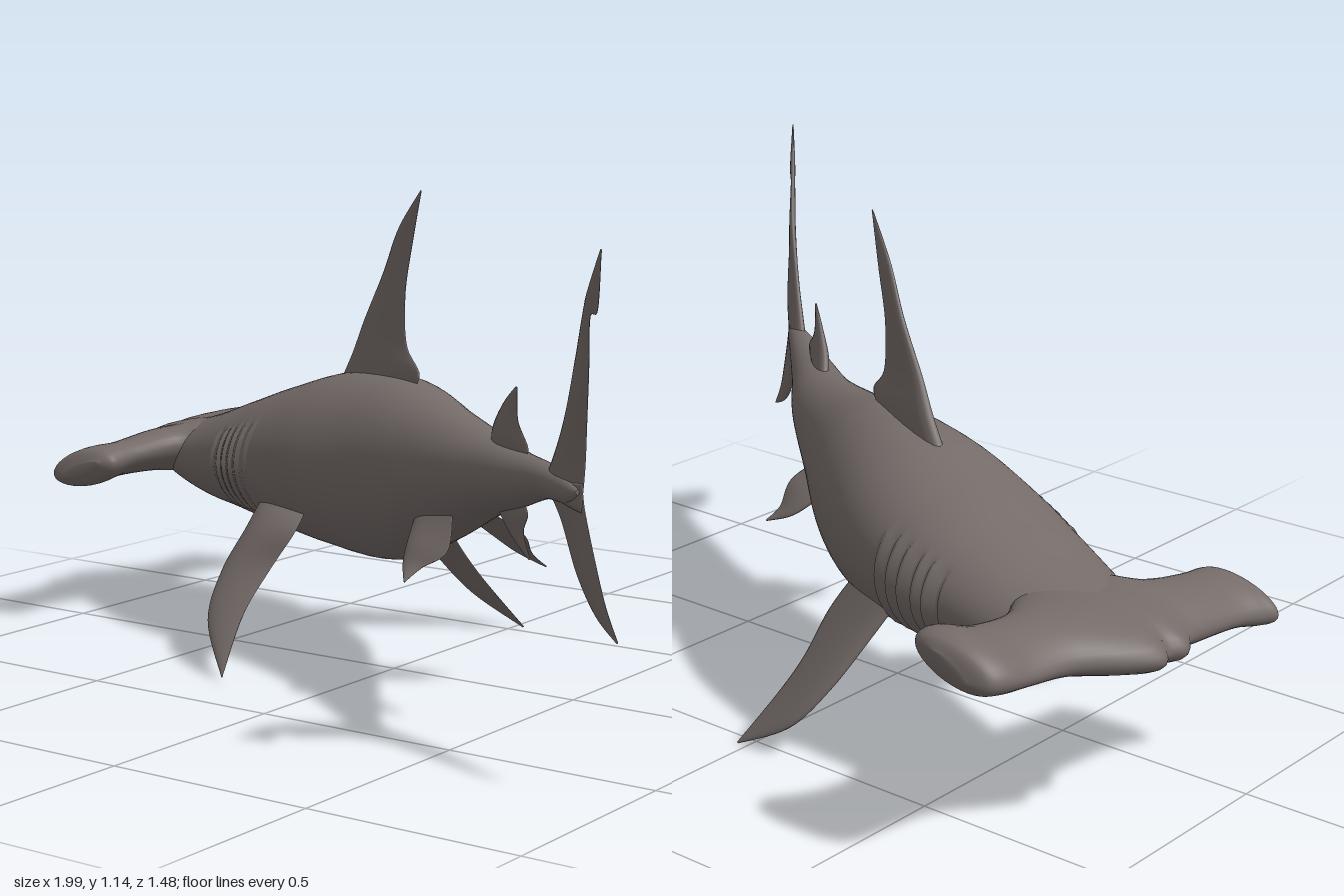
import * as THREE from 'three';

// Smooth interpolation through rows of numbers, t in 0..1
function sample(rows, t) {
  const n = rows.length - 1, f = Math.min(t * n, n - 1e-6), i = Math.floor(f), u = f - i;
  const a = rows[Math.max(i - 1, 0)], b = rows[i], c = rows[i + 1], d = rows[Math.min(i + 2, n)];
  return b.map((_, k) => 0.5 * (2 * b[k] + (c[k] - a[k]) * u
    + (2 * a[k] - 5 * b[k] + 4 * c[k] - d[k]) * u * u
    + (3 * b[k] - a[k] - 3 * c[k] + d[k]) * u * u * u));
}

// Closed skin over rings of points, capped at both ends and wound outwards
function loft(rings) {
  const m = rings[0].length, pos = [], idx = [];
  rings.forEach(r => r.forEach(p => pos.push(p.x, p.y, p.z)));
  for (let i = 0; i < rings.length - 1; i++) {
    for (let j = 0; j < m; j++) {
      const a = i * m + j, b = i * m + (j + 1) % m;
      idx.push(a, b, b + m, a, b + m, a + m);
    }
  }
  [0, rings.length - 1].forEach(i => {
    const c = new THREE.Vector3();
    rings[i].forEach(p => c.addScaledVector(p, 1 / m));
    const k = pos.length / 3;
    pos.push(c.x, c.y, c.z);
    for (let j = 0; j < m; j++) {
      const a = i * m + j, b = i * m + (j + 1) % m;
      if (i === 0) idx.push(k, b, a); else idx.push(k, a, b);
    }
  });
  const at = i => new THREE.Vector3().fromArray(pos, i * 3);
  let volume = 0;
  for (let i = 0; i < idx.length; i += 3) volume += at(idx[i]).dot(at(idx[i + 1]).cross(at(idx[i + 2])));
  if (volume < 0) idx.reverse();
  const g = new THREE.BufferGeometry();
  g.setAttribute('position', new THREE.Float32BufferAttribute(pos, 3));
  g.setIndex(idx);
  g.computeVertexNormals();
  return g;
}

// Fin from rows of leading point and trailing point, root to tip
function finGeometry(rows) {
  const mid = r => new THREE.Vector3((r[0] + r[3]) / 2, (r[1] + r[4]) / 2, (r[2] + r[5]) / 2);
  const span = mid(rows[rows.length - 1]).sub(mid(rows[0]));
  const rings = [], steps = 28, sides = 20;
  const root = new THREE.Vector3(rows[0][3] - rows[0][0], rows[0][4] - rows[0][1], rows[0][5] - rows[0][2]);
  const normal = root.cross(span).normalize();
  for (let i = 0; i <= steps; i++) {
    const s = sample(rows, i / steps);
    const lead = new THREE.Vector3(s[0], s[1], s[2]), trail = new THREE.Vector3(s[3], s[4], s[5]);
    const half = lead.distanceTo(trail) * 0.1 + 0.0015;
    const ring = [];
    for (let j = 0; j < sides; j++) {
      const a = j / sides * Math.PI * 2, u = (1 - Math.cos(a)) / 2;
      ring.push(lead.clone().lerp(trail, u).addScaledVector(normal, Math.sin(a) * half * Math.sqrt(1.05 - u)));
    }
    rings.push(ring);
  }
  return loft(rings);
}

// Body stations: x, z, half width, top y, bottom y
const BODY = [
  [-0.96, -0.31, 0.03, 0.455, 0.42], [-0.9, -0.305, 0.11, 0.485, 0.38], [-0.8, -0.29, 0.15, 0.505, 0.335],
  [-0.68, -0.27, 0.185, 0.54, 0.305], [-0.55, -0.24, 0.21, 0.585, 0.29], [-0.4, -0.2, 0.232, 0.635, 0.272],
  [-0.2, -0.13, 0.223, 0.69, 0.255], [0, -0.04, 0.18, 0.7, 0.262], [0.2, 0.075, 0.13, 0.665, 0.345],
  [0.4, 0.2, 0.09, 0.635, 0.445], [0.55, 0.32, 0.06, 0.628, 0.5], [0.7, 0.44, 0.036, 0.63, 0.555],
  [0.8, 0.52, 0.02, 0.62, 0.57], [0.84, 0.55, 0.004, 0.605, 0.595],
];

function bodyGeometry() {
  const rings = [], steps = 320, sides = 72;
  for (let i = 0; i <= steps; i++) {
    const t = i / steps, [x, z, w, top, bottom] = sample(BODY, t);
    const p = sample(BODY, Math.max(t - 0.02, 0)), q = sample(BODY, Math.min(t + 0.02, 1));
    const len = Math.hypot(q[0] - p[0], q[1] - p[1]);
    const sx = -(q[1] - p[1]) / len, sz = (q[0] - p[0]) / len;
    // Five overlapping gill flaps on each flank
    const g = (x + 0.53) / 0.035, inGills = g > 0 && g < 5;
    const flap = inGills ? 0.012 * ((g % 1) - 0.5) : 0;
    const ring = [];
    for (let j = 0; j < sides; j++) {
      const a = j / sides * Math.PI * 2, c = Math.cos(a), s = Math.sin(a);
      const band = Math.abs(c) > 0.76 && s < 0.5 ? 1 : 0;
      const r = w * c + Math.sign(c) * flap * band;
      ring.push(new THREE.Vector3(x + sx * r, (top + bottom) / 2 + s * (top - bottom) / 2, z + sz * r));
    }
    rings.push(ring);
  }
  return loft(rings);
}

// Head stations: z, front x, back x, middle y, half thickness
const HEAD = [
  [-0.742, -0.8, -0.72, 0.485, 0.012], [-0.725, -0.85, -0.66, 0.485, 0.045], [-0.68, -0.87, -0.645, 0.483, 0.055],
  [-0.6, -0.875, -0.68, 0.47, 0.045], [-0.5, -0.895, -0.7, 0.465, 0.05], [-0.4, -0.96, -0.65, 0.455, 0.06],
  [-0.33, -0.995, -0.6, 0.448, 0.064], [-0.285, -0.976, -0.6, 0.445, 0.064], [-0.24, -0.992, -0.6, 0.443, 0.064],
  [-0.18, -0.96, -0.64, 0.44, 0.062], [-0.12, -0.955, -0.75, 0.435, 0.054], [0, -0.965, -0.785, 0.425, 0.045],
  [0.07, -0.985, -0.79, 0.417, 0.05], [0.105, -0.995, -0.795, 0.413, 0.042], [0.124, -0.95, -0.83, 0.412, 0.012],
];

function headGeometry() {
  const rings = [], steps = 90, sides = 32;
  for (let i = 0; i <= steps; i++) {
    const [z, front, back, y, h] = sample(HEAD, i / steps), ring = [];
    for (let j = 0; j < sides; j++) {
      const a = j / sides * Math.PI * 2, c = Math.cos(a);
      // The wide foil slopes down towards its front edge
      ring.push(new THREE.Vector3((front + back) / 2 + c * (back - front) / 2, y + Math.sin(a) * h + c * 0.022, z));
    }
    rings.push(ring);
  }
  return loft(rings);
}

// Each row: leading x, y, z, then trailing x, y, z
const FINS = {
  dorsalFin: [
    [-0.29, 0.62, -0.16, 0.02, 0.66, -0.03], [-0.22, 0.73, -0.14, 0.07, 0.715, -0.005],
    [-0.17, 0.82, -0.12, 0.015, 0.78, -0.03], [-0.1, 0.94, -0.1, 0.008, 0.9, -0.035],
    [-0.03, 1.05, -0.062, 0.032, 1.02, -0.03], [0.075, 1.145, 0, 0.077, 1.14, 0]],
  rearDorsalFin: [
    [0.41, 0.6, 0.2, 0.55, 0.6, 0.32], [0.44, 0.66, 0.24, 0.6, 0.635, 0.355],
    [0.49, 0.72, 0.28, 0.558, 0.69, 0.33], [0.55, 0.765, 0.328, 0.556, 0.76, 0.332]],
  analFin: [
    [0.42, 0.5, 0.21, 0.56, 0.53, 0.32], [0.48, 0.46, 0.26, 0.6, 0.5, 0.355],
    [0.53, 0.43, 0.3, 0.58, 0.455, 0.34], [0.6, 0.4, 0.35, 0.605, 0.405, 0.353]],
  upperTailLobe: [
    [0.69, 0.59, 0.435, 0.85, 0.56, 0.552], [0.74, 0.65, 0.48, 0.86, 0.65, 0.555],
    [0.79, 0.74, 0.52, 0.875, 0.74, 0.575], [0.84, 0.87, 0.56, 0.908, 0.86, 0.625],
    [0.89, 0.975, 0.615, 0.93, 0.965, 0.66], [0.92, 1.02, 0.65, 0.968, 0.985, 0.695],
    [0.995, 1.105, 0.733, 0.998, 1.1, 0.735]],
  lowerTailLobe: [
    [0.69, 0.6, 0.435, 0.853, 0.62, 0.553], [0.76, 0.53, 0.48, 0.86, 0.57, 0.555],
    [0.83, 0.43, 0.53, 0.902, 0.48, 0.585], [0.91, 0.365, 0.59, 0.95, 0.395, 0.62],
    [0.986, 0.33, 0.638, 0.99, 0.333, 0.64]],
  leftPectoralFin: [
    [-0.4, 0.37, 0, -0.24, 0.38, 0.02], [-0.405, 0.3, 0.06, -0.21, 0.33, 0.11],
    [-0.415, 0.21, 0.14, -0.255, 0.24, 0.15], [-0.385, 0.11, 0.23, -0.275, 0.14, 0.23],
    [-0.258, 0.012, 0.335, -0.253, 0.016, 0.337]],
  rightPectoralFin: [
    [-0.3, 0.38, -0.36, -0.1, 0.37, -0.27], [-0.26, 0.3, -0.4, -0.065, 0.29, -0.32],
    [-0.2, 0.18, -0.47, -0.06, 0.2, -0.4], [-0.12, 0.08, -0.52, -0.03, 0.12, -0.455],
    [0.024, 0.003, -0.535, 0.028, 0.006, -0.532]],
  leftPelvicFin: [
    [0.17, 0.42, 0.15, 0.31, 0.45, 0.21], [0.195, 0.37, 0.22, 0.33, 0.37, 0.26],
    [0.21, 0.33, 0.26, 0.275, 0.33, 0.28], [0.247, 0.3, 0.31, 0.252, 0.302, 0.31]],
  rightPelvicFin: [
    [0.24, 0.42, 0.06, 0.35, 0.45, 0.14], [0.29, 0.37, 0.02, 0.41, 0.39, 0.075],
    [0.34, 0.33, -0.005, 0.4, 0.335, 0.02], [0.417, 0.3, -0.012, 0.421, 0.302, -0.008]],
};

export function createModel() {
  const model = new THREE.Group();
  model.name = 'hammerheadShark';
  const skin = new THREE.MeshStandardMaterial({ color: 0x756c69 });
  skin.name = 'greySkin';
  const add = (name, geometry) => {
    const mesh = new THREE.Mesh(geometry, skin);
    mesh.name = name;
    model.add(mesh);
  };
  add('body', bodyGeometry());
  add('hammerHead', headGeometry());
  for (const [name, rows] of Object.entries(FINS)) add(name, finGeometry(rows));
  return model;
}
